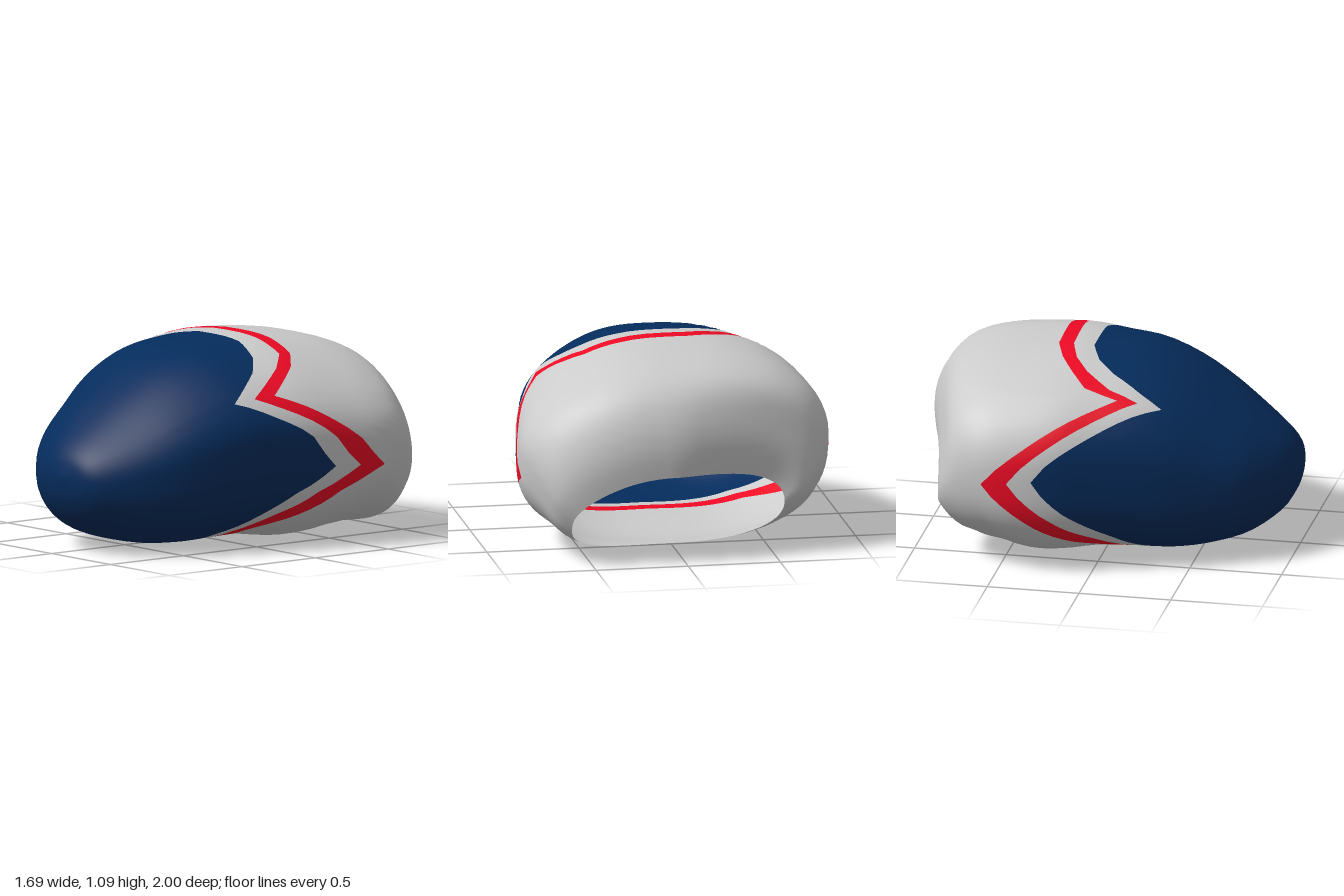
import * as THREE from 'three';

// Cross-sections from nose to opening: [topZ, topY, bottomZ, bottomY, rightX, leftX]
const SECTIONS = [
  [1, .42, 1, .42, .08, .08],
  [.985, .495, .985, .335, -.04, .2],
  [.96, .55, .96, .27, -.13, .28],
  [.9, .62, .9, .185, -.25, .36],
  [.76, .735, .76, .095, -.42, .475],
  [.58, .865, .58, .042, -.52, .58],
  [.4, .975, .4, .027, -.61, .645],
  [.2, 1.05, .2, .035, -.68, .7],
  [0, 1.075, 0, .04, -.745, .74],
  [-.2, 1.095, -.15, .02, -.805, .785],
  [-.45, 1.08, -.27, .005, -.84, .815],
  [-.65, 1.05, -.38, .008, -.85, .84],
  [-.82, .99, -.48, .025, -.81, .835],
  [-.92, .9, -.56, .035, -.77, .8],
  [-.98, .77, -.62, .05, -.71, .75],
  [-1, .63, -.67, .055, -.64, .69],
  [-.99, .49, -.7, .06, -.55, .61],
];

// Zigzag seams: [angle, z of blue edge, z of red front edge, z of red rear edge]
const SEAMS = [
  [-90, .34, .26, .16],
  [-56, .26, .17, .06],
  [-36, .08, -.02, -.15],
  [-19, -.09, -.21, -.35],
  [-6, -.3, -.45, -.61],
  [31, .23, .11, -.01],
  [48, .025, -.12, -.21],
  [58, -.05, -.215, -.285],
  [75, -.1, -.22, -.3],
  [95, -.1, -.21, -.29],
  [106, -.04, -.16, -.235],
  [116, .06, -.08, -.165],
  [128, .22, .06, -.07],
  [135, .34, .215, .11],
  [180, -.3, -.43, -.57],
  [199, -.08, -.2, -.34],
  [216, .1, -.02, -.15],
  [236, .25, .16, .05],
  [270, .34, .26, .16],
];

const LAST = SECTIONS.length - 1;
const { smoothstep, lerp, degToRad } = THREE.MathUtils;

function catmull(a, b, c, d, f) {
  return b + .5 * f * (c - a + f * (2 * a - 5 * b + 4 * c - d + f * (3 * (b - c) + d - a)));
}

// Squareness of a section: round at the nose, boxy below the middle, softer at the upper left
function squareness(t, angle) {
  const body = smoothstep(t, 2, 7), rear = smoothstep(t, 8, 12);
  const low = 2.05 + .9 * body - .5 * rear, high = 2.05 + .4 * body;
  const cos = Math.cos(angle), sin = Math.sin(angle);
  return lerp(low, high, smoothstep(sin, -.3, .3))
    - .75 * body * Math.max(0, cos) * Math.max(0, sin);
}

// Point on the shell: t runs along the sections, angle runs around them
function shellPoint(t, angle) {
  const i = Math.min(Math.floor(t), LAST - 1);
  const at = (k) => SECTIONS[Math.max(0, Math.min(LAST, k))];
  const [tz, ty, bz, by, x0, x1] = SECTIONS[0].map((_, k) =>
    catmull(at(i - 1)[k], at(i)[k], at(i + 1)[k], at(i + 2)[k], t - i));
  const power = 2 / squareness(t, angle);
  const soft = (v) => Math.sign(v) * Math.abs(v) ** power;
  const c = soft(Math.cos(angle)), s = soft(Math.sin(angle));
  // The rim sags at its left and lifts at its right, where the back is dented
  const end = smoothstep(t, 12, LAST) * c * c;
  const dent = .16 * Math.max(0, -c) * Math.max(0, s) * smoothstep(t, 11, 14);
  return [
    (x0 + x1) / 2 + c * (x1 - x0) / 2,
    (ty + by) / 2 + s * (ty - by) / 2 + end * (c > 0 ? -.055 : .02),
    (tz + bz) / 2 + s * (tz - bz) / 2 - end * (c > 0 ? .05 : .01) + dent,
  ];
}

// Section parameter at which the shell reaches a given z
function findT(z, angle) {
  let lo = 0, hi = LAST - 2;
  for (let k = 0; k < 24; k++) {
    const mid = (lo + hi) / 2;
    if (shellPoint(mid, angle)[2] > z) lo = mid; else hi = mid;
  }
  return (lo + hi) / 2;
}

export function createModel() {
  const group = new THREE.Group();
  group.name = 'shell';

  // Columns around the shell, always including the corners of the seams
  const columns = [];
  for (let i = 0; i < SEAMS.length - 1; i++) {
    const a = SEAMS[i], b = SEAMS[i + 1];
    const steps = Math.ceil((b[0] - a[0]) / 5);
    for (let j = 0; j < steps; j++) columns.push(a.map((v, k) => v + (b[k] - v) * j / steps));
  }

  const bands = [
    { name: 'frontPanel', rows: 22, color: 0x052c5c },
    { name: 'paleStripe', rows: 3, color: 0xcccccc },
    { name: 'redStripe', rows: 3, color: 0xee0a24 },
    { name: 'rearPanel', rows: 20, color: 0xcccccc },
  ];
  const n = columns.length;
  const rowTotal = bands.reduce((sum, b) => sum + b.rows, 0);
  const positions = new Float32Array((rowTotal + 1) * n * 3);

  columns.forEach(([deg, ...seams], col) => {
    const angle = degToRad(deg);
    const stops = [0, ...seams.map((z) => findT(z, angle)), LAST];
    let row = 0;
    bands.forEach((band, b) => {
      for (let r = b ? 1 : 0; r <= band.rows; r++) {
        const t = stops[b] + (stops[b + 1] - stops[b]) * r / band.rows;
        positions.set(shellPoint(t, angle), (row++ * n + col) * 3);
      }
    });
  });

  // Shared smooth normals over the whole shell
  const quads = (from, to) => {
    const index = [];
    for (let r = from; r < to; r++) {
      for (let c = 0; c < n; c++) {
        const a = r * n + c, b = r * n + (c + 1) % n;
        index.push(a, a + n, b, b, a + n, b + n);
      }
    }
    return index;
  };
  const whole = new THREE.BufferGeometry();
  whole.setAttribute('position', new THREE.BufferAttribute(positions, 3));
  whole.setIndex(quads(0, rowTotal));
  whole.computeVertexNormals();
  for (let c = 0; c < n; c++) whole.attributes.normal.setXYZ(c, 0, 0, 1);

  // One mesh per colour band, open at the rear
  let start = 0;
  for (const { name, rows, color } of bands) {
    const geometry = new THREE.BufferGeometry();
    geometry.setAttribute('position', whole.attributes.position.clone());
    geometry.setAttribute('normal', whole.attributes.normal.clone());
    geometry.setIndex(quads(start, start + rows));
    const mesh = new THREE.Mesh(geometry,
      new THREE.MeshStandardMaterial({ color, side: THREE.DoubleSide }));
    mesh.name = name;
    group.add(mesh);
    start += rows;
  }
  return group;
}
